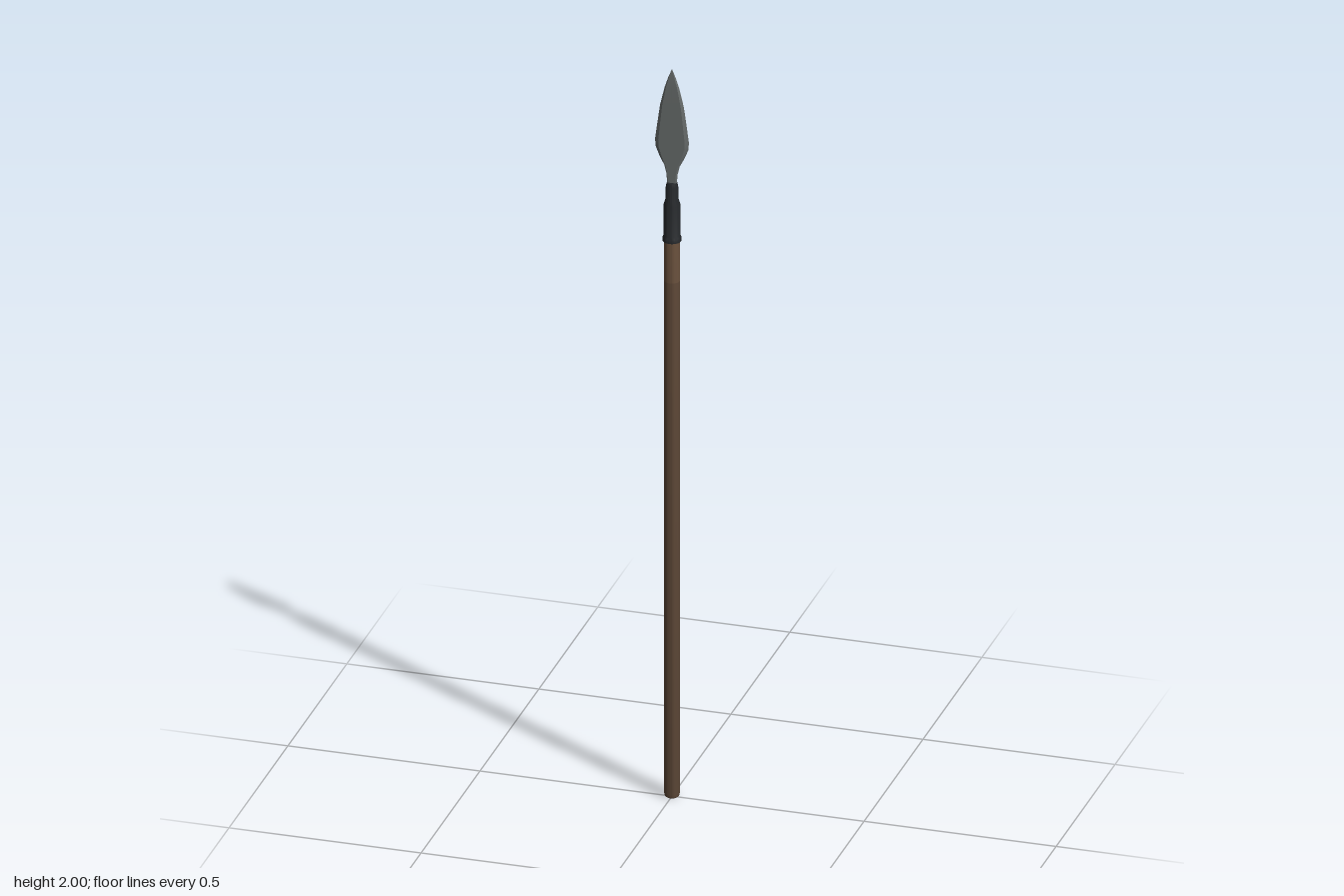
import * as THREE from 'three';
import { toCreasedNormals } from 'three/addons/utils/BufferGeometryUtils.js';

const mat = (name, color, side = THREE.FrontSide) => {
  const m = new THREE.MeshStandardMaterial({ color, side });
  m.name = name;
  return m;
};

// Turned part from [radius, height] pairs, listed bottom to top
function turned(name, profile, material) {
  const lathe = new THREE.LatheGeometry(profile.map(([r, y]) => new THREE.Vector2(r, y)), 20);
  const mesh = new THREE.Mesh(toCreasedNormals(lathe, 0.6), material);
  mesh.name = name;
  return mesh;
}

// Leaf blade lofted from bevelled hexagonal sections: [height, half width, half thickness]
function bladeGeometry(sections) {
  const pos = [], index = [], n = 6;
  for (const [y, w, t] of sections) {
    const f = w * 0.78;
    pos.push(w, y, 0, f, y, t, -f, y, t, -w, y, 0, -f, y, -t, f, y, -t);
  }
  for (let s = 0; s < sections.length - 1; s++) {
    for (let i = 0; i < n; i++) {
      const a = s * n + i, b = s * n + (i + 1) % n;
      index.push(a, a + n, b, b, a + n, b + n);
    }
  }
  for (let i = 1; i < n - 1; i++) index.push(0, i, i + 1);
  const g = new THREE.BufferGeometry();
  g.setAttribute('position', new THREE.Float32BufferAttribute(pos, 3));
  g.setIndex(index);
  return toCreasedNormals(g, 0.4);
}

export function createModel() {
  const group = new THREE.Group();
  group.name = 'spear';
  const wood = mat('dark wood', 0x5f4938);
  const paleWood = mat('worn wood', 0x6b523e);
  const iron = mat('dark iron', 0x25282b);
  const steel = mat('blade steel', 0x686d6c, THREE.DoubleSide);
  const stain = mat('dark mark', 0x2a2a29, THREE.DoubleSide);

  // Wooden shaft with a rounded foot
  group.add(turned('shaft', [[0, 0], [0.014, 0], [0.018, 0.003], [0.02, 0.012], [0.02, 1.42]], wood));
  group.add(turned('upperShaft', [[0.02, 1.42], [0.02, 1.54]], paleWood));

  // Iron socket with a collar at its base
  group.add(turned('socket', [
    [0.019, 1.53], [0.0235, 1.53], [0.0235, 1.54], [0.021, 1.545],
    [0.021, 1.63], [0.0165, 1.645], [0.0155, 1.68], [0.013, 1.69], [0, 1.69],
  ], iron));

  // Leaf-shaped blade
  const blade = new THREE.Mesh(bladeGeometry([
    [1.67, 0.0125, 0.005], [1.71, 0.014, 0.005], [1.735, 0.02, 0.005], [1.76, 0.033, 0.005],
    [1.785, 0.043, 0.005], [1.805, 0.044, 0.005], [1.85, 0.038, 0.0048], [1.9, 0.031, 0.0045],
    [1.95, 0.019, 0.004], [1.98, 0.009, 0.003], [2, 0.0005, 0.0005],
  ]), steel);
  blade.name = 'blade';
  group.add(blade);

  // Fine central ridge on both faces
  for (const side of [1, -1]) {
    const ridge = new THREE.Mesh(new THREE.BoxGeometry(0.002, 0.26, 0.001), steel);
    ridge.position.set(0, 1.82, side * 0.0048);
    ridge.name = 'bladeRidge';
    group.add(ridge);
  }

  // Dark mark wrapped round the back of the shaft, climbing towards -x
  const markGeo = new THREE.CylinderGeometry(0.0206, 0.0206, 1, 16, 1, true, Math.PI / 2, Math.PI);
  const p = markGeo.attributes.position;
  for (let i = 0; i < p.count; i++) {
    const k = 0.5 - p.getX(i) / 0.0412; // 0 on the +x side, 1 on the -x side
    const low = 1.28 + 0.1 * k ** 8;
    const high = 1.325 + 0.025 * k + 0.07 * k ** 6;
    p.setY(i, p.getY(i) > 0 ? high : low);
  }
  const mark = new THREE.Mesh(markGeo, stain);
  mark.name = 'shaftMark';
  group.add(mark);

  return group;
}
